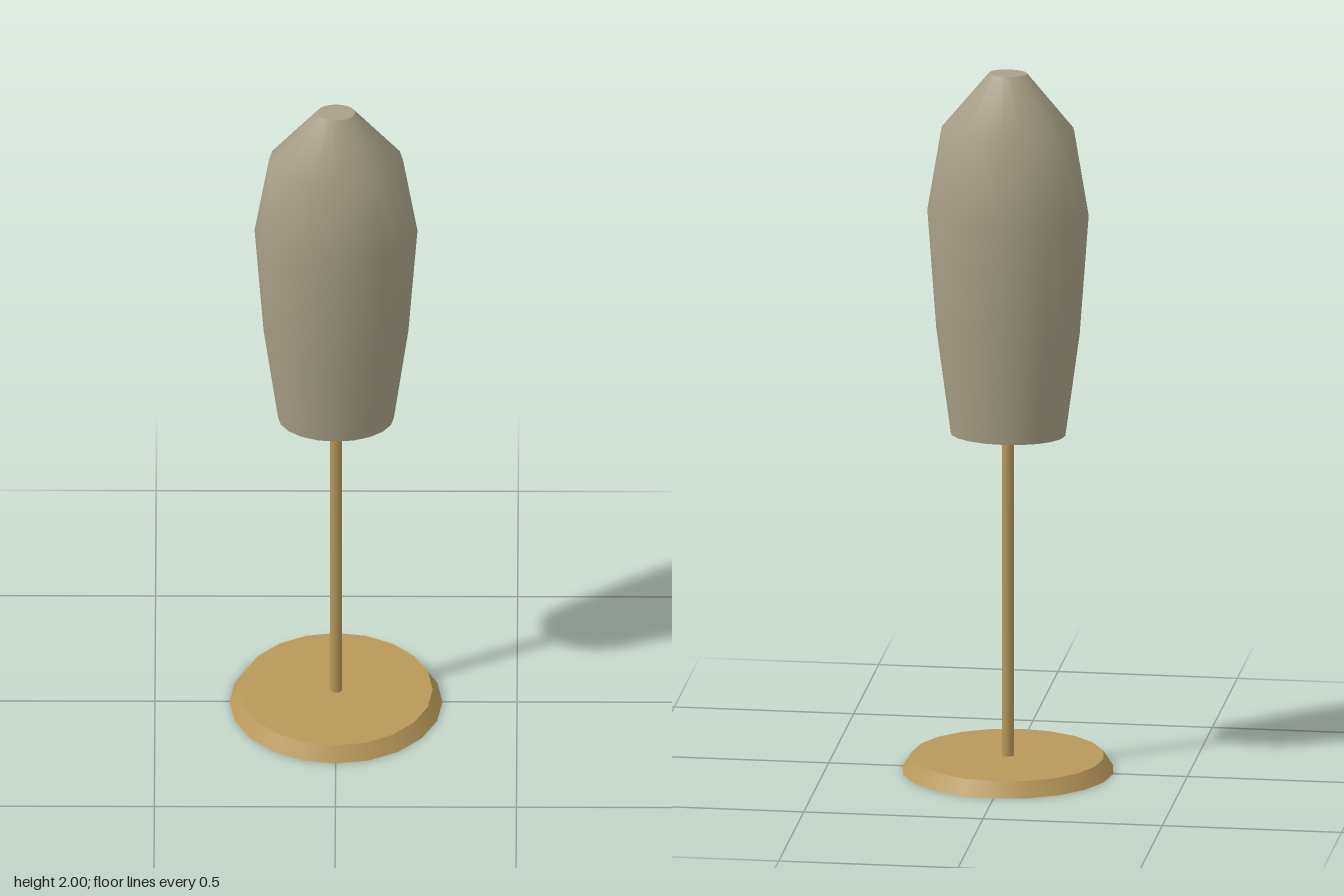
import * as THREE from 'three';

const SIDES = 20;
const DEPTH = 0.72; // front-to-back squash of the oval body

export function createModel() {
  const model = new THREE.Group();
  model.name = 'dressForm';

  const fabric = new THREE.MeshStandardMaterial({ color: 0xa89f87 });
  fabric.name = 'greige fabric';
  const brass = new THREE.MeshStandardMaterial({ color: 0xb8985a });
  brass.name = 'brass';

  const add = (name, geometry, material, y = 0) => {
    const mesh = new THREE.Mesh(geometry, material);
    mesh.name = name;
    mesh.position.y = y;
    model.add(mesh);
    return mesh;
  };

  // Oval surface turned from [radius, height] points, listed from bottom to top
  const oval = (points) =>
    new THREE.LatheGeometry(points.map(([r, y]) => new THREE.Vector2(r, y)), SIDES)
      .scale(1, 1, DEPTH);

  // Round bevelled foot
  add('base', new THREE.CylinderGeometry(0.267, 0.294, 0.042, SIDES), brass, 0.021);

  // Thin pole from the foot into the body
  add('pole', new THREE.CylinderGeometry(0.017, 0.017, 0.93, 10), brass, 0.5);

  // Body: smooth sides, with separate caps so the rims stay sharp
  add('body', oval([[0.16, 0.965], [0.2, 1.26], [0.225, 1.6], [0.185, 1.84], [0.053, 2]]), fabric);
  add('bodyUnderside', oval([[0, 0.94], [0.16, 0.965]]), fabric);
  add('neckCap', oval([[0.053, 2], [0, 2]]), fabric);

  return model;
}
